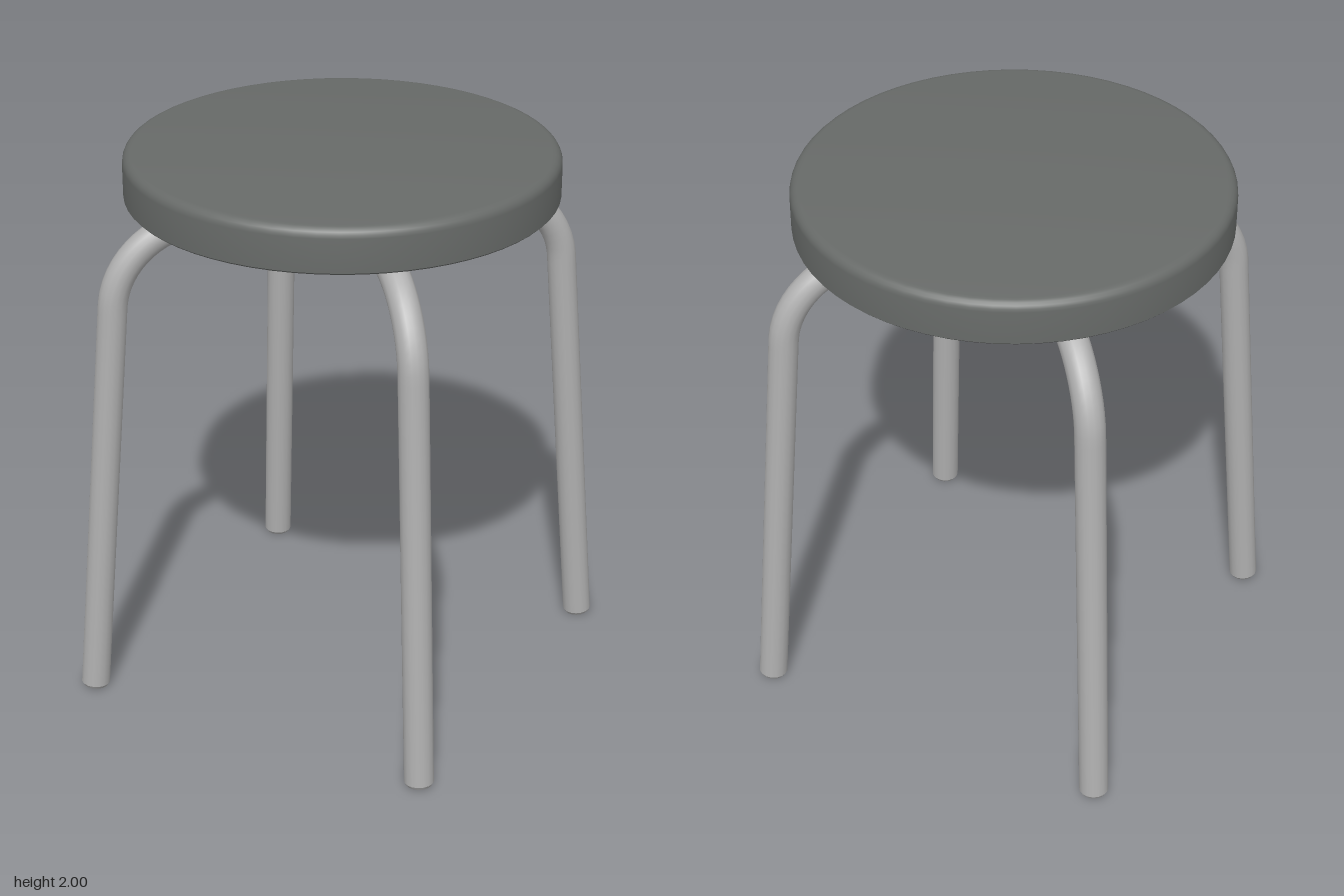
import * as THREE from 'three';
import { toCreasedNormals } from 'three/addons/utils/BufferGeometryUtils.js';

const V = (x, y) => new THREE.Vector3(x, y, 0);

export function createModel() {
  const model = new THREE.Group();
  model.name = 'stool';

  const seatMat = new THREE.MeshStandardMaterial({ name: 'dark grey seat', color: 0x676a68 });
  const legMat = new THREE.MeshStandardMaterial({ name: 'light grey metal', color: 0xb0b0b0 });

  // Round seat: flat underside, straight rim, softly rounded top edge
  const R = 0.755, bottom = 1.84, top = 2, round = 0.035;
  const profile = [new THREE.Vector2(0, bottom), new THREE.Vector2(R - 0.006, bottom), new THREE.Vector2(R, bottom + 0.006)];
  for (let i = 0; i <= 5; i++) {
    const a = (i / 5) * Math.PI / 2;
    profile.push(new THREE.Vector2(R - round + round * Math.cos(a), top - round + round * Math.sin(a)));
  }
  profile.push(new THREE.Vector2(0, top));
  const seat = new THREE.Mesh(toCreasedNormals(new THREE.LatheGeometry(profile, 64), 0.6), seatMat);
  seat.name = 'seat';
  model.add(seat);

  // Bent leg path: splayed straight leg, bend, then a run to the middle
  const path = new THREE.CurvePath();
  path.add(new THREE.LineCurve3(V(0.946, 0.012), V(0.822, 1.5)));
  path.add(new THREE.CubicBezierCurve3(V(0.822, 1.5), V(0.81, 1.65), V(0.68, 1.78), V(0.5, 1.79)));
  path.add(new THREE.LineCurve3(V(0.5, 1.79), V(0, 1.8)));
  const tube = new THREE.TubeGeometry(path, 72, 0.052, 16);

  // Foot end with a small bevel
  const footGeo = toCreasedNormals(new THREE.LatheGeometry([
    new THREE.Vector2(0, -0.012), new THREE.Vector2(0.044, -0.012), new THREE.Vector2(0.052, 0),
  ], 16), 0.4);

  // Four legs around the centre
  for (let i = 0; i < 4; i++) {
    const leg = new THREE.Group();
    leg.name = 'leg' + (i + 1);
    const bar = new THREE.Mesh(tube, legMat);
    bar.name = 'legTube';
    const foot = new THREE.Mesh(footGeo, legMat);
    foot.name = 'footEnd';
    foot.position.set(0.946, 0.012, 0);
    foot.rotation.z = Math.atan2(0.124, 1.488);
    leg.add(bar, foot);
    leg.rotation.y = i * Math.PI / 2;
    model.add(leg);
  }
  return model;
}
